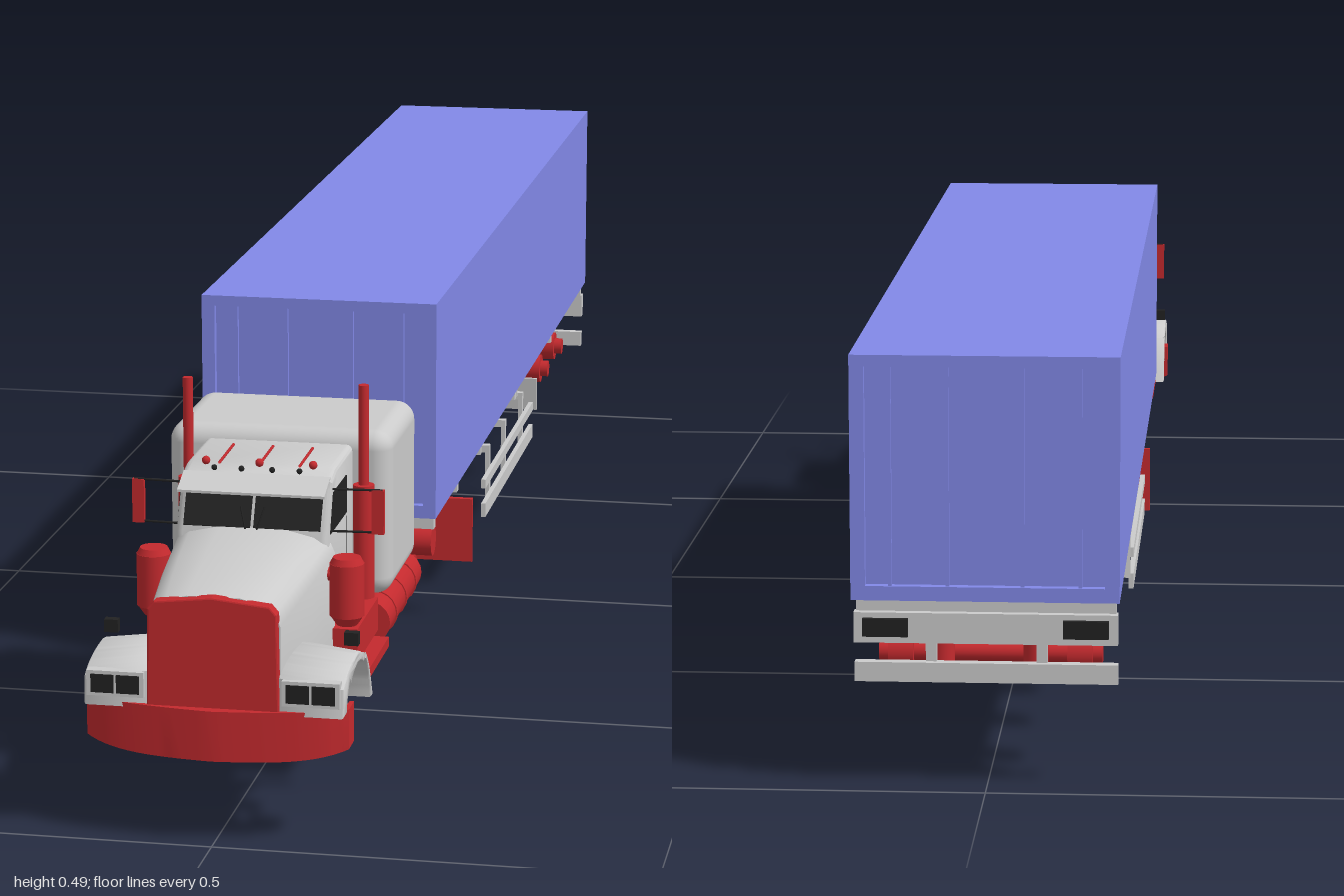
import * as THREE from 'three';
import { toCreasedNormals } from 'three/addons/utils/BufferGeometryUtils.js';
import { RoundedBoxGeometry } from 'three/addons/geometries/RoundedBoxGeometry.js';

const mat = (color) => new THREE.MeshStandardMaterial({ color, side: THREE.DoubleSide });

export function createModel() {
  const root = new THREE.Group();
  const grey = mat(0xcccccc), red = mat(0xc42a2e), blue = mat(0x8289e8), dark = mat(0x222222);

  const add = (name, geo, m, x = 0, y = 0, z = 0) => {
    const mesh = new THREE.Mesh(geo, m);
    mesh.name = name;
    mesh.position.set(x, y, z);
    root.add(mesh);
    return mesh;
  };
  // box given by its limits on each axis
  const box = (name, m, x0, x1, y0, y1, z0, z1) =>
    add(name, new THREE.BoxGeometry(Math.abs(x1 - x0), y1 - y0, z1 - z0), m, (x0 + x1) / 2, (y0 + y1) / 2, (z0 + z1) / 2);
  const cyl = (name, m, r, len, axis, x, y, z, r2 = r) => {
    const g = new THREE.CylinderGeometry(r, r2, len, 20);
    if (axis === 'x') g.rotateZ(-Math.PI / 2);
    if (axis === 'z') g.rotateX(Math.PI / 2);
    return add(name, g, m, x, y, z);
  };
  const rod = (name, m, r, a, b) => {
    const path = new THREE.LineCurve3(new THREE.Vector3(...a), new THREE.Vector3(...b));
    return add(name, new THREE.TubeGeometry(path, 1, r, 6), m);
  };
  const shapeOf = (pts) => new THREE.Shape(pts.map((p) => new THREE.Vector2(...p)));
  // side outline in (z, y), extruded across x and centred on the given x
  const side = (name, m, shape, width, x, bevel = 0) => {
    const g = new THREE.ExtrudeGeometry(shape, {
      depth: width - 2 * bevel, curveSegments: 16, bevelEnabled: bevel > 0,
      bevelSize: bevel, bevelOffset: -bevel, bevelThickness: bevel, bevelSegments: 4 });
    g.translate(0, 0, -width / 2 + bevel).rotateY(-Math.PI / 2);
    return add(name, toCreasedNormals(g, 0.6), m, x);
  };
  // skin over mirrored cross-sections [z, half outline from bottom to top], back to front
  const loft = (name, m, sections) => {
    const rings = sections.map(([z, half]) =>
      [...half, ...half.slice().reverse().map(([x, y]) => [-x, y])].map(([x, y]) => [x, y, z]));
    const n = rings[0].length, idx = [];
    for (let s = 0; s < rings.length - 1; s++) for (let i = 0; i < n; i++) {
      const a = s * n + i, b = s * n + (i + 1) % n;
      idx.push(a, b, b + n, a, b + n, a + n);
    }
    const last = (rings.length - 1) * n;
    for (let i = 1; i < n - 1; i++) idx.push(0, i + 1, i, last, last + i, last + i + 1);
    const g = new THREE.BufferGeometry();
    g.setAttribute('position', new THREE.Float32BufferAttribute(rings.flat(2), 3));
    g.setIndex(idx);
    return add(name, toCreasedNormals(g, 0.7), m);
  };

  // ---------- cargo container ----------
  box('container', blue, -0.147, 0.147, 0.216, 0.488, -0.99, 0.38);
  for (const [z0, z1] of [[-1, -0.99], [0.38, 0.39]]) {
    for (const s of [-1, 1]) box('containerEndPost', blue, s * 0.131, s * 0.147, 0.216, 0.488, z0, z1);
    box('containerEndHeader', blue, -0.131, 0.131, 0.475, 0.488, z0, z1);
    box('containerEndSill', blue, -0.131, 0.131, 0.216, 0.232, z0, z1);
    for (const x of [-0.104, -0.041, 0.041, 0.104])
      box('containerEndRib', blue, x - 0.002, x + 0.002, 0.232, 0.475, z0 + 0.002, z1 - 0.002);
  }

  // ---------- tractor: hood, grille, bumper, cab, sleeper ----------
  const hoodHalf = (w, top, low) => [[w, low], [w, top - 0.03], [w - 0.006, top - 0.016], [w - 0.02, top - 0.007], [w * 0.4, top]];
  loft('hood', grey, [
    [0.765, hoodHalf(0.094, 0.308, 0.15)],
    [0.86, hoodHalf(0.087, 0.298, 0.15)],
    [0.978, hoodHalf(0.075, 0.283, 0.155)],
  ]);
  const grille = new THREE.ExtrudeGeometry(
    shapeOf([[-0.073, 0.15], [0.073, 0.15], [0.071, 0.268], [0.064, 0.276], [0, 0.283], [-0.064, 0.276], [-0.071, 0.268]]),
    { depth: 0.012, bevelSize: 0.002, bevelThickness: 0.002, bevelSegments: 2 });
  add('grille', grille, red, 0, 0, 0.974);

  const plan = new THREE.Shape();
  plan.moveTo(-0.149, 0.935).lineTo(-0.149, 0.965);
  plan.quadraticCurveTo(-0.12, 0.99, 0, 1).quadraticCurveTo(0.12, 0.99, 0.149, 0.965);
  plan.lineTo(0.149, 0.935).lineTo(0.144, 0.935).lineTo(0.143, 0.962);
  plan.quadraticCurveTo(0, 0.998, -0.143, 0.962).lineTo(-0.144, 0.935);
  const bumper = new THREE.ExtrudeGeometry(plan, { depth: 0.058, bevelEnabled: false, curveSegments: 14 });
  bumper.rotateX(Math.PI / 2);
  const bp = bumper.attributes.position;
  for (let i = 0; i < bp.count; i++) {
    const low = bp.getY(i) < -0.03;
    bp.setY(i, low ? 0.1 + 0.012 * Math.pow(Math.abs(bp.getX(i)) / 0.149, 4) : 0.158);
  }
  add('bumper', toCreasedNormals(bumper, 0.6), red);

  side('cab', grey, shapeOf([[0.625, 0.17], [0.785, 0.17], [0.782, 0.3], [0.757, 0.35], [0.757, 0.36], [0.725, 0.368], [0.625, 0.37]]), 0.178, 0, 0.008);
  for (const s of [-1, 1]) {
    const glass = box('windshieldPane', dark, s * 0.002, s * 0.08, 0.304, 0.348, 0.769, 0.772);
    glass.rotation.x = -0.46;
    side('sideWindow', dark, shapeOf([[0.672, 0.3], [0.768, 0.3], [0.75, 0.345], [0.672, 0.345]]), 0.002, s * 0.089);
    box('doorSeam', dark, s * 0.0885, s * 0.0895, 0.19, 0.295, 0.668, 0.67);
    rod('wiper', dark, 0.001, [s * 0.006, 0.303, 0.785], [s * 0.014, 0.33, 0.774]);
  }
  side('sunVisor', grey, shapeOf([[0.75, 0.356], [0.785, 0.346], [0.785, 0.349], [0.75, 0.363]]), 0.172, 0);
  add('sleeper', new RoundedBoxGeometry(0.268, 0.2, 0.18, 5, 0.022), grey, 0, 0.285, 0.54);
  for (const x of [-0.063, 0, 0.063]) {
    add('roofLamp', new THREE.SphereGeometry(0.005, 12, 8), red, x, 0.372, 0.735);
    rod('roofHorn', red, 0.0018, [x * 0.75, 0.372, 0.66], [x * 0.75, 0.37, 0.735]);
  }
  for (const x of [-0.05, -0.018, 0.018, 0.05]) add('roofMarker', new THREE.SphereGeometry(0.0035, 8, 6), dark, x, 0.368, 0.75);

  // ---------- tractor: paired side parts ----------
  for (const s of [-1, 1]) {
    const arch = new THREE.Shape();
    arch.moveTo(0.985, 0.153).lineTo(0.982, 0.195);
    arch.quadraticCurveTo(0.96, 0.212, 0.9, 0.213).quadraticCurveTo(0.84, 0.205, 0.81, 0.125);
    arch.lineTo(0.82, 0.125).quadraticCurveTo(0.835, 0.195, 0.9, 0.2).quadraticCurveTo(0.955, 0.195, 0.965, 0.153);
    const fender = side('fender', grey, arch, 0.076, s * 0.109, 0.003);
    const fp = fender.geometry.attributes.position;
    for (let i = 0; i < fp.count; i++) if (fp.getX(i) * s > 0 && fp.getY(i) > 0.19) fp.setY(i, fp.getY(i) - 0.009);
    box('headlightFrame', grey, s * 0.078, s * 0.143, 0.165, 0.194, 0.975, 0.988);
    for (const x of [0.096, 0.125]) box('headlight', dark, s * (x - 0.013), s * (x + 0.013), 0.169, 0.19, 0.98, 0.9895);
    box('turnSignal', dark, s * 0.13, s * 0.146, 0.209, 0.224, 0.885, 0.895);

    cyl('exhaustPipe', red, 0.006, 0.15, 'y', s * 0.105, 0.372, 0.645);
    cyl('muffler', red, 0.0125, 0.15, 'y', s * 0.105, 0.252, 0.645);
    cyl('airCleaner', red, 0.02, 0.062, 'y', s * 0.113, 0.243, 0.79);
    cyl('airCleanerCap', red, 0.016, 0.008, 'y', s * 0.113, 0.277, 0.79, 0.02);
    cyl('airCleanerBase', red, 0.02, 0.012, 'y', s * 0.113, 0.207, 0.79, 0.012);
    cyl('airIntake', red, 0.008, 0.03, 'x', s * 0.097, 0.26, 0.79);

    box('mirror', red, s * 0.134, s * 0.148, 0.297, 0.349, 0.742, 0.749);
    for (const y of [0.299, 0.349]) rod('mirrorArm', dark, 0.0014, [s * 0.085, y, 0.75], [s * 0.146, y, 0.746]);

    cyl('fuelTank', red, 0.026, 0.215, 'z', s * 0.11, 0.158, 0.535);
    for (const z of [0.47, 0.535, 0.6]) cyl('tankStrap', red, 0.0275, 0.006, 'z', s * 0.11, 0.158, z);
    box('stepBox', red, s * 0.085, s * 0.122, 0.15, 0.19, 0.645, 0.775);
    box('lowerStep', red, s * 0.085, s * 0.135, 0.13, 0.142, 0.645, 0.79);
    box('stepBracket', red, s * 0.085, s * 0.095, 0.13, 0.15, 0.645, 0.79);

    box('chassisRail', red, s * 0.04, s * 0.052, 0.145, 0.18, 0.1, 0.96);
    box('frontLeafSpring', red, s * 0.05, s * 0.064, 0.128, 0.136, 0.83, 0.965);
    cyl('frontHub', red, 0.017, 0.024, 'x', s * 0.1, 0.125, 0.9);
    box('rearMudflap', red, s * 0.066, s * 0.147, 0.078, 0.156, 0.1, 0.104);
    box('mudflapHanger', red, s * 0.045, s * 0.147, 0.156, 0.164, 0.099, 0.107);
    box('batteryStep', grey, s * 0.06, s * 0.09, 0.105, 0.11, 0.41, 0.45);
    for (const z of [0.412, 0.448]) rod('stepHanger', grey, 0.002, [s * 0.06, 0.108, z], [s * 0.055, 0.16, z]);
  }

  // ---------- tractor: chassis and drive axles ----------
  for (const z of [0.11, 0.26, 0.41, 0.62, 0.78, 0.94]) box('chassisCrossmember', red, -0.042, 0.042, 0.15, 0.174, z - 0.008, z + 0.008);
  add('engine', new RoundedBoxGeometry(0.07, 0.07, 0.2, 3, 0.012), red, 0, 0.16, 0.84);
  cyl('gearbox', red, 0.028, 0.12, 'z', 0, 0.15, 0.68, 0.018);
  cyl('driveShaft', red, 0.007, 0.44, 'z', 0, 0.14, 0.41);
  cyl('frontAxle', red, 0.009, 0.2, 'x', 0, 0.125, 0.9);
  const airSpring = (x, y, z) => cyl('airSpring', red, 0.014, 0.03, 'y', x, y, z);
  for (const z of [0.33, 0.19]) {
    cyl('driveAxle', red, 0.011, 0.18, 'x', 0, 0.13, z);
    add('differential', new THREE.SphereGeometry(0.026, 16, 12), red, 0, 0.132, z);
    for (const s of [-1, 1]) {
      cyl('driveHub', red, 0.02, 0.03, 'x', s * 0.095, 0.13, z);
      box('suspensionArm', red, s * 0.053, s * 0.066, 0.112, 0.122, z - 0.05, z + 0.05);
      airSpring(s * 0.06, 0.137, z - 0.04);
    }
  }
  side('fifthWheel', red, shapeOf([[0.18, 0.184], [0.34, 0.192], [0.34, 0.2], [0.18, 0.192]]), 0.12, 0);
  box('fifthWheelBase', red, -0.055, 0.055, 0.176, 0.19, 0.22, 0.31);

  // ---------- spare twin wheel lying under the cab ----------
  const tyre = [[0.03, -0.014], [0.046, -0.017], [0.055, -0.014], [0.058, -0.008], [0.058, 0.008], [0.055, 0.014], [0.046, 0.017], [0.03, 0.014]];
  for (const x of [-0.043, -0.009]) {
    const g = new THREE.LatheGeometry(tyre.map((p) => new THREE.Vector2(...p)), 36);
    add('tyre', g.rotateZ(-Math.PI / 2), grey, x, 0.058, 0.55);
    const rim = [[0.031, 0.014], [0.029, 0.004], [0.018, 0], [0.001, 0]].map((p) => new THREE.Vector2(...p));
    add('rim', new THREE.LatheGeometry(rim, 32).rotateZ(-Math.PI / 2), grey, x, 0.058, 0.55);
  }
  cyl('wheelHub', grey, 0.012, 0.018, 'x', 0, 0.058, 0.55);
  for (let i = 0; i < 10; i++) {
    const a = (i / 10) * Math.PI * 2;
    cyl('wheelNut', dark, 0.0022, 0.014, 'x', 0.005, 0.058 + 0.018 * Math.sin(a), 0.55 + 0.018 * Math.cos(a));
  }

  // ---------- trailer frame ----------
  const rail = shapeOf([[0.385, 0.2], [0.385, 0.214], [0, 0.214], [-0.14, 0.192], [-0.985, 0.19], [-0.985, 0.168], [-0.14, 0.168], [-0.02, 0.196]]);
  for (const s of [-1, 1]) {
    side('trailerRail', grey, rail, 0.014, s * 0.05);
    rod('gooseneckBrace', grey, 0.005, [s * 0.05, 0.195, -0.13], [s * 0.135, 0.205, 0]);
    // landing leg
    box('landingLeg', grey, s * 0.078, s * 0.092, 0.11, 0.2, -0.027, -0.013);
    box('landingLegInner', grey, s * 0.081, s * 0.089, 0.07, 0.11, -0.024, -0.016);
    box('landingFoot', grey, s * 0.075, s * 0.095, 0.06, 0.072, -0.03, -0.01);
    // side guard
    for (const [y0, y1] of [[0.103, 0.122], [0.143, 0.155]]) box('sideGuardBar', grey, s * 0.138, s * 0.144, y0, y1, -0.46, -0.025);
    for (const z of [-0.1, -0.24, -0.4]) {
      box('sideGuardPost', grey, s * 0.132, s * 0.138, 0.103, 0.182, z - 0.005, z + 0.005);
      box('sideGuardOutrigger', grey, s * 0.05, s * 0.138, 0.174, 0.184, z - 0.005, z + 0.005);
    }
    const flap = box('trailerMudguard', grey, s * 0.07, s * 0.142, 0.13, 0.178, -0.515, -0.511);
    flap.rotation.x = 0.1;
    box('tailLight', dark, s * 0.085, s * 0.135, 0.174, 0.194, -0.996, -0.988);
    box('rearGuardPost', grey, s * 0.055, s * 0.067, 0.13, 0.17, -0.975, -0.965);
  }
  for (const z of [0.375, 0.2, 0.01, -0.295, -0.31, -0.65, -0.975])
    box('bolster', grey, -0.143, 0.143, 0.2, 0.216, z - 0.006, z + 0.006);
  for (const z of [-0.295, -0.31, -0.65, -0.975]) for (const s of [-1, 1])
    box('bolsterPost', grey, s * 0.04, s * 0.06, 0.188, 0.202, z - 0.006, z + 0.006);
  for (const z of [-0.14, -0.22, -0.46, -0.55, -0.8, -0.9])
    box('frameCrossmember', grey, -0.05, 0.05, 0.172, 0.187, z - 0.006, z + 0.006);
  box('legBrace', grey, -0.08, 0.08, 0.14, 0.15, -0.024, -0.016);
  cyl('kingpin', grey, 0.008, 0.03, 'y', 0, 0.2, 0.26);
  box('rearPanel', grey, -0.145, 0.145, 0.166, 0.2, -0.99, -0.975);
  box('rearGuard', grey, -0.145, 0.145, 0.12, 0.142, -0.982, -0.97);

  // ---------- trailer axles ----------
  for (const z of [-0.6, -0.75, -0.9]) {
    cyl('trailerAxle', red, 0.011, 0.2, 'x', 0, 0.135, z);
    for (const s of [-1, 1]) {
      cyl('trailerHub', red, 0.021, 0.028, 'x', s * 0.1, 0.135, z);
      cyl('trailerHubCap', red, 0.012, 0.012, 'x', s * 0.119, 0.135, z);
      box('trailerArm', red, s * 0.045, s * 0.06, 0.115, 0.128, z - 0.05, z + 0.045);
      box('trailerHanger', red, s * 0.045, s * 0.06, 0.115, 0.17, z + 0.035, z + 0.05);
      airSpring(s * 0.052, 0.148, z - 0.035);
    }
  }
  return root;
}
